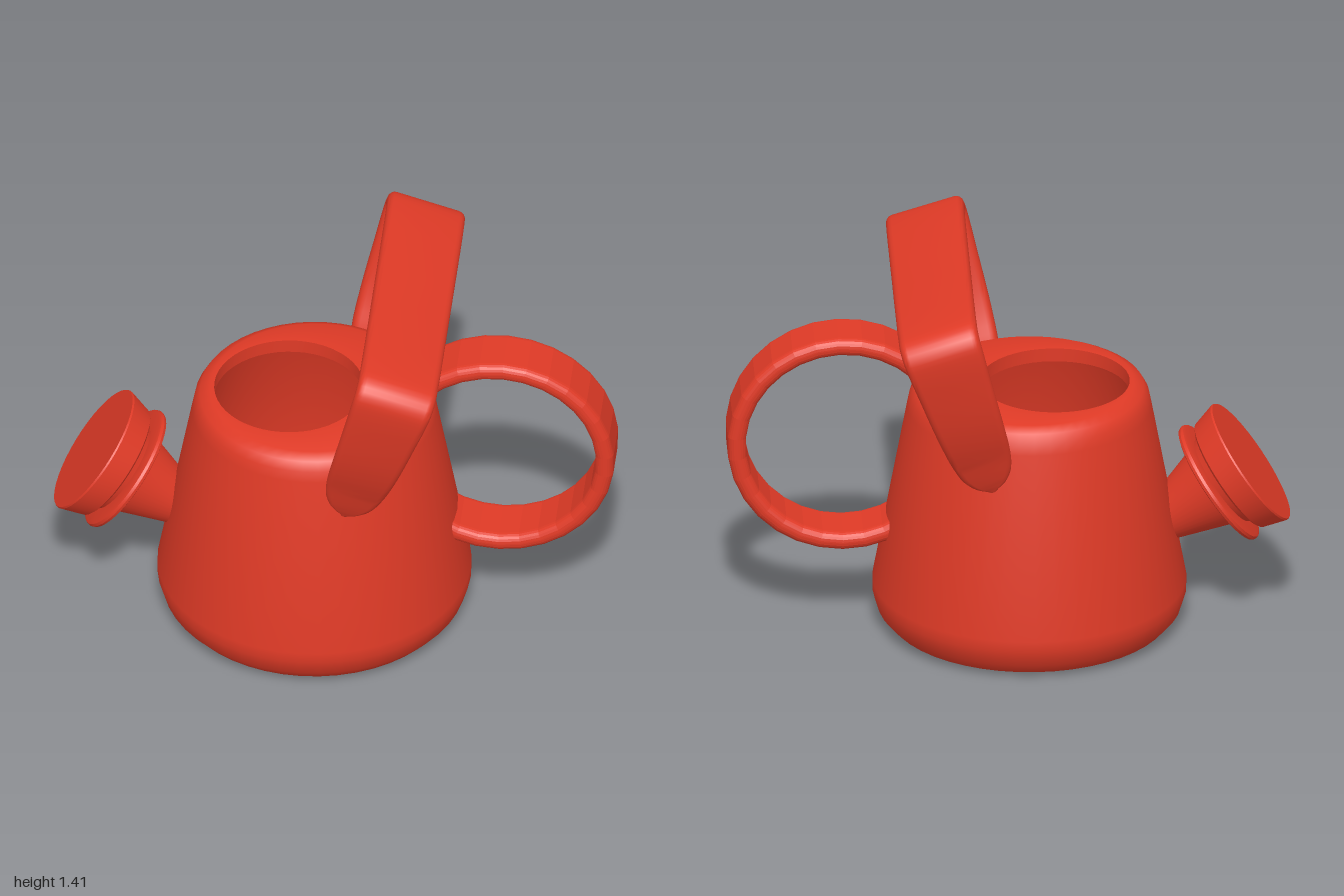
import * as THREE from 'three';
import { toCreasedNormals } from 'three/addons/utils/BufferGeometryUtils.js';

const red = new THREE.MeshStandardMaterial({ color: 0xdf3a26 });
red.name = 'red plastic';

// Skin a series of closed cross-sections (arrays of Vector3)
function loft(rings) {
  const pos = [];
  for (let i = 0; i < rings.length - 1; i++) {
    const lo = rings[i], hi = rings[i + 1], n = lo.length;
    for (let j = 0; j < n; j++) {
      const k = (j + 1) % n;
      for (const p of [lo[j], hi[j], lo[k], lo[k], hi[j], hi[k]]) pos.push(p.x, p.y, p.z);
    }
  }
  const g = new THREE.BufferGeometry();
  g.setAttribute('position', new THREE.Float32BufferAttribute(pos, 3));
  g.computeVertexNormals();
  return g;
}

// Close both ends of a sweep by collapsing a ring to its centre
function capped(rings) {
  const collapse = (ring) => {
    const c = ring.reduce((a, p) => a.add(p), new THREE.Vector3()).divideScalar(ring.length);
    return ring.map(() => c);
  };
  return [collapse(rings[0]), ...rings, collapse(rings[rings.length - 1])];
}

// Rounded rectangle as [u, v] points, a by b overall
function roundedRect(a, b, r, steps = 4) {
  const out = [];
  for (let k = 0; k < 4; k++) {
    const su = k === 0 || k === 3 ? 1 : -1, sv = k < 2 ? 1 : -1;
    for (let i = 0; i <= steps; i++) {
      const t = (k + i / steps) * Math.PI / 2;
      out.push([su * (a / 2 - r) + r * Math.cos(t), sv * (b / 2 - r) + r * Math.sin(t)]);
    }
  }
  return out;
}

function addMesh(group, name, geometry) {
  const m = new THREE.Mesh(geometry, red);
  m.name = name;
  group.add(m);
  return m;
}

// Hollow tapered can with an off-centre filling hole: [radius, y, centre x]
function bodyGeometry() {
  const c = -0.075, h = -0.165;
  const profile = [
    [0, 0, c], [0.45, 0.002, c], [0.5, 0.018, c], [0.537, 0.06, c], [0.555, 0.12, c],
    [0.555, 0.16, c], [0.432, 0.83, c], [0.424, 0.87, c], [0.405, 0.902, c], [0.37, 0.92, c],
    [0.265, 0.92, h], [0.265, 0.87, h],
    [0.37, 0.87, c], [0.395, 0.82, c], [0.505, 0.16, c], [0.48, 0.05, c], [0, 0.05, c],
  ];
  const n = 48;
  return toCreasedNormals(loft(profile.map(([r, y, cx]) =>
    Array.from({ length: n }, (_, i) => {
      const a = i / n * Math.PI * 2;
      return new THREE.Vector3(cx + r * Math.cos(a), y, r * Math.sin(a));
    }))), 0.75);
}

// Faceted round handle on the back of the can
function ringHandleGeometry() {
  const section = roundedRect(0.065, 0.21, 0.03, 5);
  const rings = [], n = 24, from = -2.18, to = 2.76;
  for (let i = 0; i <= n; i++) {
    const a = from + (to - from) * i / n;
    rings.push(section.map(([u, v]) => new THREE.Vector3(
      0.585 + (0.379 + u) * Math.cos(a), 0.728 + (0.379 + u) * Math.sin(a), v)));
  }
  return loft(capped(rings));
}

// Leaning carrying arch: control points are (z, height along lean, width)
function archGeometry() {
  const half = [
    [0.41, 0, 0.03], [0.42, 0.025, 0.12], [0.435, 0.07, 0.18], [0.458, 0.14, 0.213],
    [0.49, 0.22, 0.23], [0.52, 0.32, 0.245], [0.547, 0.46, 0.262], [0.563, 0.58, 0.278],
    [0.56, 0.625, 0.282], [0.535, 0.652, 0.284], [0.48, 0.662, 0.285], [0.25, 0.667, 0.285],
  ];
  const all = [...half, [0, 0.667, 0.285], ...half.map(([z, s, w]) => [-z, s, w]).reverse()];
  const curve = new THREE.CatmullRomCurve3(all.map((p) => new THREE.Vector3(...p)));
  const lean = 0.3;
  const W = new THREE.Vector3(Math.cos(lean), -Math.sin(lean), 0);
  const S = new THREE.Vector3(Math.sin(lean), Math.cos(lean), 0);
  const base = new THREE.Vector3(0.075, 0.705, 0);
  const pts = curve.getPoints((all.length - 1) * 3);
  const rings = pts.map((p, i) => {
    const q0 = pts[Math.max(i - 1, 0)], q1 = pts[Math.min(i + 1, pts.length - 1)];
    const l = Math.hypot(q1.x - q0.x, q1.y - q0.y);
    const tz = (q1.x - q0.x) / l, ts = (q1.y - q0.y) / l;
    const thick = 0.062;
    return roundedRect(thick, p.z, Math.min(thick, p.z) * 0.42).map(([u, v]) =>
      base.clone().addScaledVector(S, p.y + u * tz).addScaledVector(W, v)
        .add(new THREE.Vector3(0, 0, p.x - u * ts)));
  });
  return toCreasedNormals(loft(capped(rings)), 0.7);
}

// Turned part along the spout axis, profile given back to front as [radius, y]
function turned(profile) {
  const g = new THREE.LatheGeometry(profile.map((p) => new THREE.Vector2(...p)), 40);
  return toCreasedNormals(g, 0.6);
}

export function createModel() {
  const model = new THREE.Group();
  model.name = 'wateringCan';
  addMesh(model, 'body', bodyGeometry());
  addMesh(model, 'ringHandle', ringHandleGeometry());
  addMesh(model, 'archHandle', archGeometry());

  // Spout, its collar and the sprinkler head share one tilted axis
  const spout = new THREE.Group();
  spout.name = 'spout';
  spout.position.set(-0.86, 0.59, 0);
  spout.rotation.z = 0.96;
  addMesh(spout, 'neck', turned([[0, -0.41], [0.073, -0.41], [0.158, -0.15], [0.19, -0.09]]));
  addMesh(spout, 'collar', turned([
    [0.15, -0.152], [0.224, -0.154], [0.234, -0.15], [0.238, -0.14],
    [0.234, -0.13], [0.224, -0.126], [0.15, -0.126],
  ]));
  addMesh(spout, 'sprinklerHead', turned([
    [0, -0.1], [0.205, -0.1], [0.218, -0.092], [0.243, -0.006], [0.24, 0], [0, 0],
  ]));
  model.add(spout);
  return model;
}
